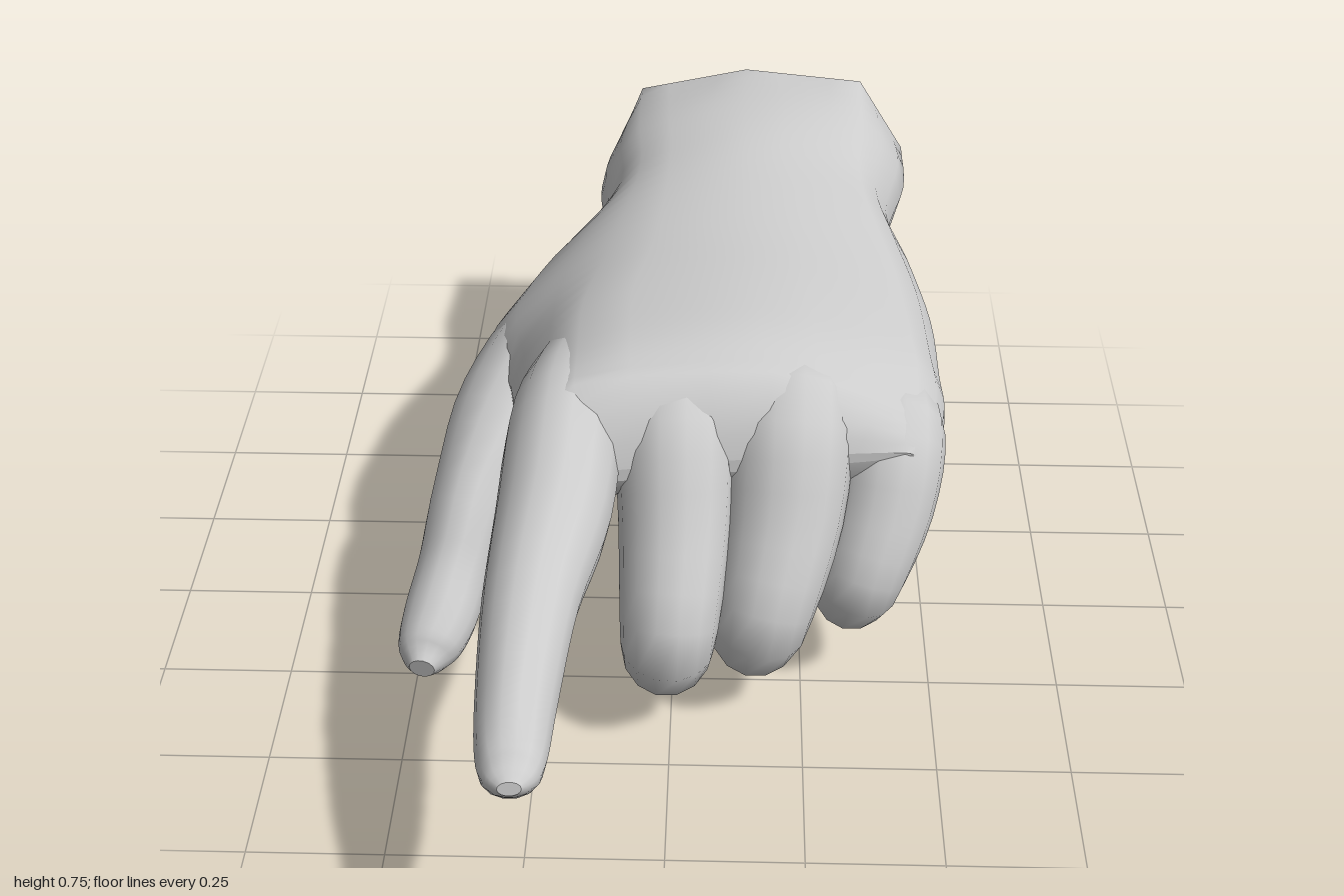
import * as THREE from 'three';

const material = new THREE.MeshStandardMaterial({ color: 0xcccccc, side: THREE.DoubleSide });
const smooth = (pts, closed = false, tension = 0.5) => new THREE.CatmullRomCurve3(pts, closed, 'catmullrom', tension);

// Smooth skin over a list of rings, with flat caps on both ends
function skin(name, rings) {
  const n = rings[0].length;
  const pos = [], index = [];
  rings.forEach(r => r.forEach(p => pos.push(p.x, p.y, p.z)));
  for (let i = 0; i < rings.length - 1; i++) {
    for (let j = 0; j < n; j++) {
      const k = (j + 1) % n;
      const a = i * n + j, b = i * n + k, c = a + n, d = b + n;
      index.push(a, b, d, a, d, c);
    }
  }
  [[rings[0], true], [rings[rings.length - 1], false]].forEach(([ring, flip]) => {
    const base = pos.length / 3;
    const mid = new THREE.Vector3();
    ring.forEach(p => { pos.push(p.x, p.y, p.z); mid.addScaledVector(p, 1 / n); });
    pos.push(mid.x, mid.y, mid.z);
    for (let j = 0; j < n; j++) {
      const a = base + j, b = base + (j + 1) % n;
      index.push(base + n, flip ? b : a, flip ? a : b);
    }
  });
  const geo = new THREE.BufferGeometry();
  geo.setAttribute('position', new THREE.Float32BufferAttribute(pos, 3));
  geo.setIndex(index);
  geo.computeVertexNormals();
  const mesh = new THREE.Mesh(geo, material);
  mesh.name = name;
  return mesh;
}

// Finger along a path of [x, y, z, halfWidth, halfThickness]
function finger(name, path, steps = 28, sides = 14) {
  const centre = smooth(path.map(p => new THREE.Vector3(p[0], p[1], p[2])));
  const radius = smooth(path.map(p => new THREE.Vector3(p[3], p[4], 0)));
  const rings = [];
  for (let i = 0; i <= steps; i++) {
    const c = centre.getPoint(i / steps), r = radius.getPoint(i / steps);
    const t = centre.getTangent(i / steps);
    const s = new THREE.Vector3(1, 0, 0).addScaledVector(t, -t.x).normalize();
    const up = new THREE.Vector3().crossVectors(t, s);
    rings.push(Array.from({ length: sides }, (_, j) => {
      const a = (j / sides) * Math.PI * 2;
      return c.clone().addScaledVector(s, Math.cos(a) * r.x).addScaledVector(up, Math.sin(a) * r.y);
    }));
  }
  return skin(name, rings);
}

// Palm and wrist: eight x,y pairs per section, from the little-finger edge over the back
function palm() {
  const sections = [
    [-0.967, [.48, .56, .38, .73, .13, .745, -.10, .68, -.155, .53, -.06, .40, .14, .35, .36, .37]],
    [-0.80, [.48, .53, .38, .70, .13, .735, -.10, .68, -.185, .52, -.09, .38, .13, .32, .37, .35]],
    [-0.64, [.44, .50, .37, .66, .13, .72, -.09, .67, -.185, .50, -.13, .34, .11, .28, .36, .33]],
    [-0.48, [.485, .47, .39, .64, .14, .70, -.11, .66, -.31, .46, -.23, .22, .04, .19, .38, .29]],
    [-0.30, [.52, .43, .43, .61, .15, .685, -.14, .65, -.39, .43, -.31, .19, -.04, .17, .40, .25]],
    [-0.10, [.52, .43, .45, .59, .15, .685, -.18, .65, -.33, .45, -.26, .26, -.02, .26, .42, .29]],
    [0.05, [.52, .44, .46, .57, .16, .68, -.18, .66, -.30, .49, -.25, .36, 0, .35, .42, .35]],
    [0.16, [.50, .44, .45, .54, .18, .655, -.18, .655, -.28, .54, -.23, .42, 0, .41, .40, .38]],
  ];
  const loops = sections.map(([z, xy], k) => {
    const pts = [];
    for (let i = 0; i < 16; i += 2) {
      const x = xy[i], y = xy[i + 1];
      // the wrist is cut at a slant, and the knuckles step back toward the little finger
      const slant = k === 0 ? 0.1 * (x - 0.17) + 0.18 * (y - 0.55) : z > 0 ? -0.15 * (x - 0.17) : 0;
      pts.push(new THREE.Vector3(x, y, z + slant));
    }
    return smooth(pts, true, k === 0 ? 0 : 0.4);
  });
  const sides = 24, steps = 28, rings = [];
  const rails = Array.from({ length: sides }, (_, j) => smooth(loops.map(l => l.getPoint(j / sides))));
  for (let i = 0; i <= steps; i++) rings.push(rails.map(r => r.getPoint(i / steps)));
  // rounded front of the knuckles
  const front = rings[steps];
  [[.97, .86, .025], [.94, .66, .047], [.9, .4, .065], [.86, .1, .075]].forEach(([sx, sy, dz]) => {
    rings.push(front.map(p => new THREE.Vector3(.1 + (p.x - .1) * sx, .5 + (p.y - .5) * sy, p.z + dz)));
  });
  return skin('palmAndWrist', rings);
}

export function createModel() {
  const hand = new THREE.Group();
  hand.name = 'pointingHand';
  hand.add(palm());

  // Outstretched finger
  hand.add(finger('indexFinger', [
    [-.18, .52, -.08, .08, .09], [-.20, .53, .15, .105, .125], [-.21, .49, .38, .105, .115],
    [-.235, .46, .60, .085, .088], [-.245, .405, .80, .07, .083], [-.245, .38, .91, .06, .06],
    [-.242, .39, .97, .045, .035], [-.24, .395, .998, .02, .013],
  ]));

  // Curled fingers, bent down at the knuckle and back under the palm
  hand.add(finger('middleFinger', [
    [0, .50, -.03, .08, .09], [0, .56, .135, .11, .11], [.005, .39, .27, .105, .105],
    [-.005, .20, .39, .088, .095], [-.01, .145, .24, .08, .078], [.01, .175, .10, .07, .07],
    [.02, .235, .03, .055, .055], [.025, .275, .01, .025, .025],
  ]));
  hand.add(finger('ringFinger', [
    [.21, .47, -.03, .08, .09], [.215, .545, .115, .12, .11], [.205, .38, .23, .115, .105],
    [.165, .20, .325, .09, .095], [.155, .145, .20, .08, .078], [.17, .185, .08, .07, .07],
    [.18, .245, .02, .055, .055], [.185, .28, .01, .025, .025],
  ]));
  hand.add(finger('littleFinger', [
    [.40, .44, -.08, .08, .08], [.41, .465, .07, .105, .105], [.395, .36, .16, .10, .095],
    [.35, .22, .22, .082, .088], [.335, .18, .13, .068, .066], [.335, .215, .05, .06, .057],
    [.33, .275, .01, .047, .047], [.325, .305, .015, .025, .02],
  ]));

  // Thumb, rising out of its mound on the palm
  hand.add(finger('thumb', [
    [-.08, .43, -.62, .06, .08], [-.21, .37, -.40, .145, .16], [-.325, .315, -.18, .135, .15],
    [-.40, .235, -.02, .09, .12], [-.435, .145, .09, .075, .095], [-.46, .085, .18, .073, .08],
    [-.48, .055, .245, .058, .06], [-.485, .045, .29, .025, .025],
  ]));
  return hand;
}
